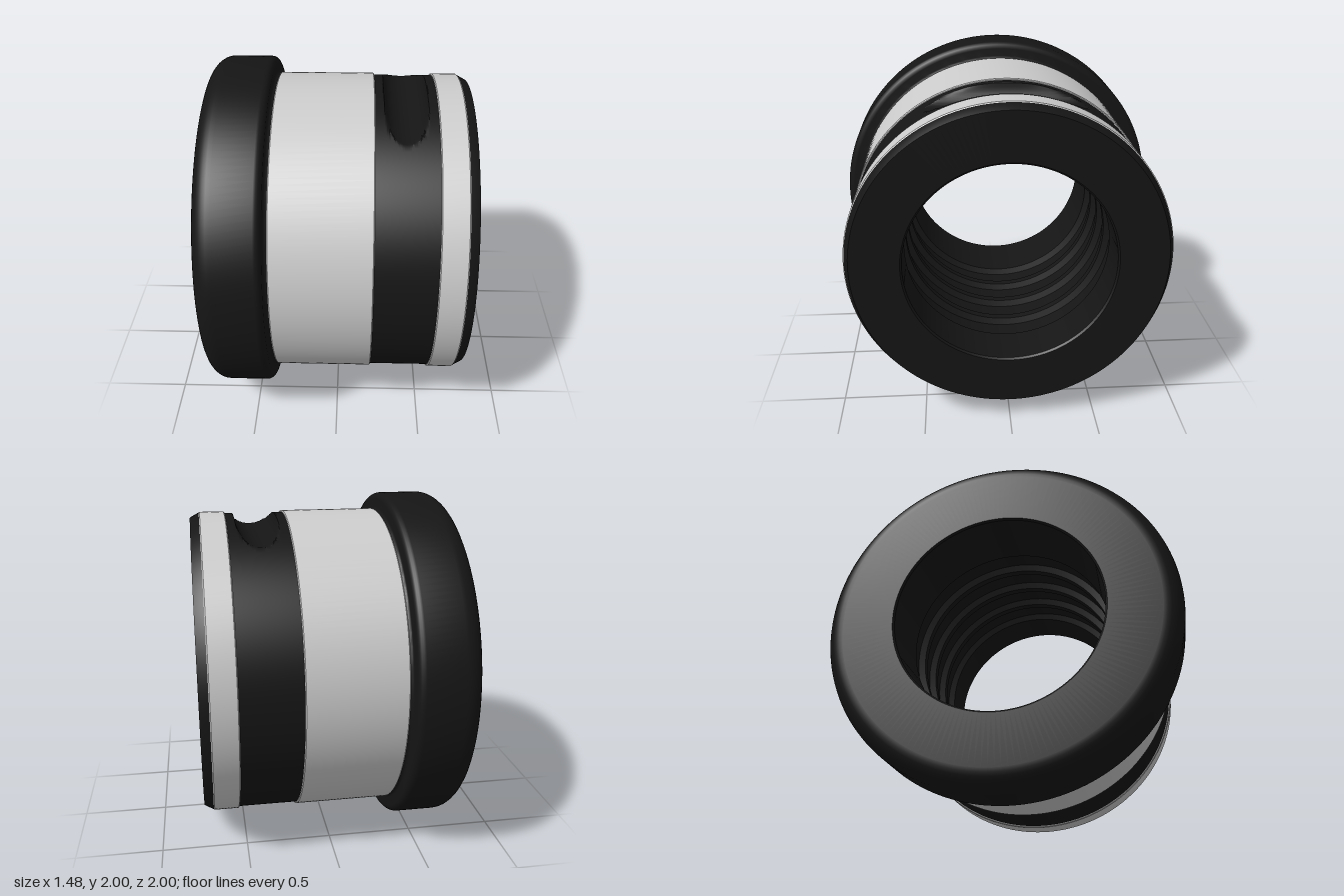
import * as THREE from 'three';
import { toCreasedNormals } from 'three/addons/utils/BufferGeometryUtils.js';

const dark = new THREE.MeshStandardMaterial({ color: 0x151515 });
const grey = new THREE.MeshStandardMaterial({ color: 0xcccccc });

// Quarter-round corner as [axial, radius] points, from angle a to b
function arc(cx, cr, r, a, b, n = 8) {
  return Array.from({ length: n + 1 }, (_, i) => {
    const t = a + ((b - a) * i) / n;
    return [cx + r * Math.cos(t), cr + r * Math.sin(t)];
  });
}

// Revolves [axial, radius] points around the x axis
function turned(name, points, material) {
  const g = new THREE.LatheGeometry(points.map(([x, r]) => new THREE.Vector2(r, x)), 160);
  g.rotateZ(-Math.PI / 2);
  const mesh = new THREE.Mesh(toCreasedNormals(g, 0.5), material);
  mesh.name = name;
  return mesh;
}

// Dark band with a round-bottomed notch milled straight across its top
function notchedBand() {
  const R = 0.895, notchR = 0.12, cx = 0.37, k = 0.025;
  const g = new THREE.CylinderGeometry(1, 1, 0.34, 256, 84, true);
  g.rotateZ(-Math.PI / 2);
  g.translate(cx, 0, 0);
  const p = g.attributes.position;
  for (let i = 0; i < p.count; i++) {
    const x = p.getX(i), y = p.getY(i), z = p.getZ(i), d = Math.abs(x - cx);
    const height = d < notchR ? R - Math.sqrt(notchR * notchR - d * d) : R + (d - notchR) * 4;
    let r = R;
    if (y > 0.3) {
      const cut = height / y;
      const blend = Math.max(k - Math.abs(R - cut), 0) / k;
      r = Math.min(R, cut) - (d < notchR + 0.03 && d > 0.09 ? blend * blend * k * 0.25 : 0);
    }
    p.setXYZ(i, x, y * r, z * r);
  }
  const mesh = new THREE.Mesh(toCreasedNormals(g, 0.5), dark);
  mesh.name = 'notchedBand';
  return mesh;
}

export function createModel() {
  const group = new THREE.Group();
  const bore = 0.588, groove = 0.625, core = 0.75, P = Math.PI;

  // Flange, hidden core, chamfered nose and ribbed bore in one closed profile
  const profile = [
    [-0.742, bore + 0.01],
    ...arc(-0.632, 0.89, 0.11, P, P / 2),
    ...arc(-0.415, 0.96, 0.04, P / 2, 0, 5),
    ...arc(-0.355, 0.915, 0.02, P, P * 1.5, 4),
    [-0.35, core], [0.68, core],
    [0.68, 0.9], [0.692, 0.9], [0.742, 0.873],
    [0.742, bore + 0.01], [0.732, bore],
  ];
  // Shallow grooves inside the bore
  for (const x of [0.48, 0.26, 0.04, -0.18]) {
    profile.push([x, bore], [x - 0.015, groove], [x - 0.16, groove], [x - 0.175, bore]);
  }
  profile.push([-0.732, bore], [-0.742, bore + 0.01]);
  group.add(turned('flangedBody', profile, dark));

  // Plain metal rings
  const ring = (name, a, b) => turned(name, [
    [a, 0.74], [a, 0.9], [a + 0.005, 0.905], [b - 0.005, 0.905], [b, 0.9], [b, 0.74],
  ], grey);
  group.add(ring('wideSleeve', -0.357, 0.2));
  group.add(ring('narrowRing', 0.54, 0.69));
  group.add(notchedBand());

  group.position.y = 1;
  const model = new THREE.Group();
  model.name = 'bushing';
  model.add(group);
  return model;
}
